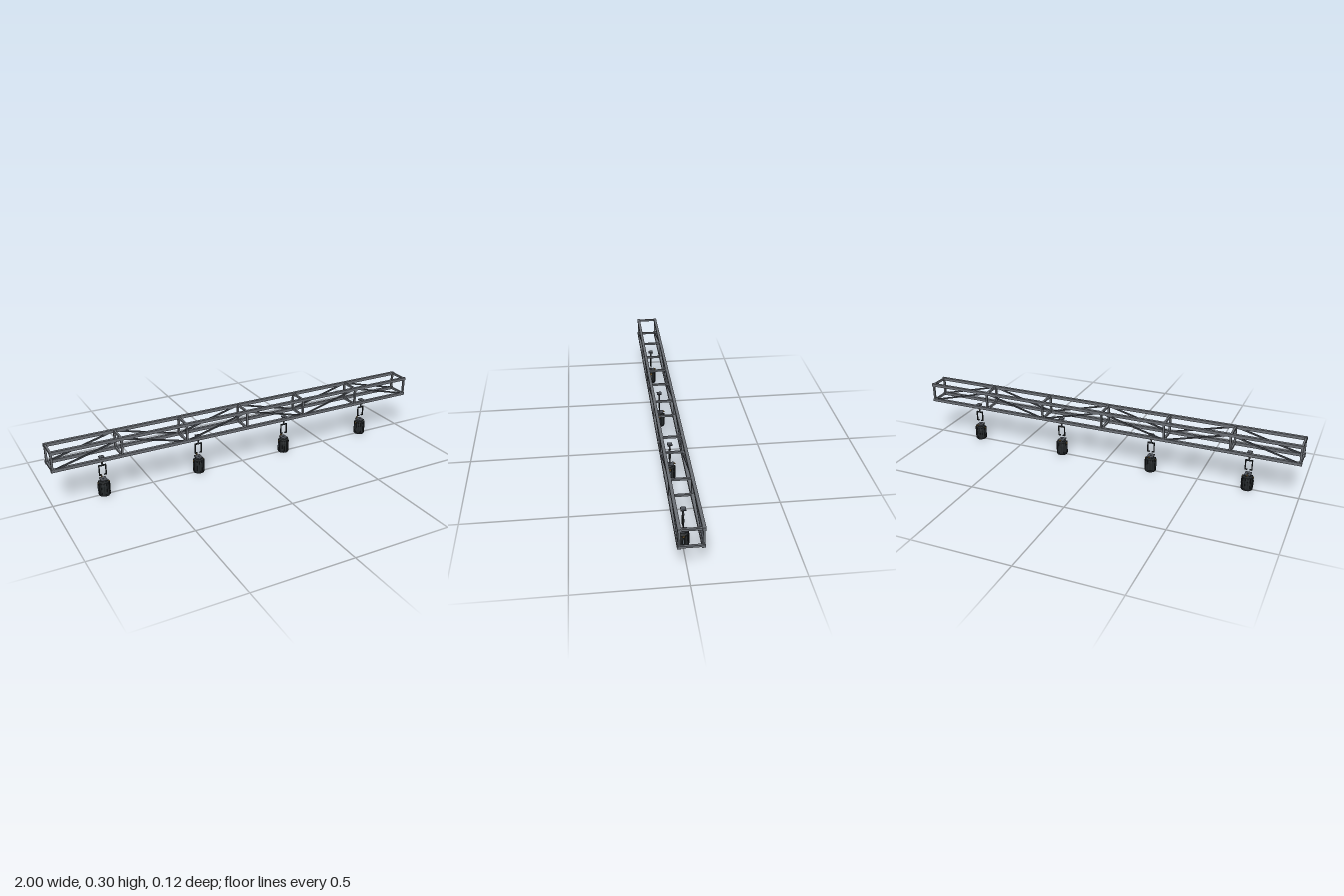
import * as THREE from 'three';

const mat = (color, flatShading = false) => new THREE.MeshStandardMaterial({ color, flatShading });
const steel = mat(0x6a6e74);
const darkSteel = mat(0x4c5057);
const black = mat(0x25292b, true);
const rib = mat(0x1b1e20);
const brass = mat(0x8a6a35);
const glass = mat(0x59636b);

function add(parent, name, geometry, material, x = 0, y = 0, z = 0) {
  const mesh = new THREE.Mesh(geometry, material);
  mesh.name = name;
  mesh.position.set(x, y, z);
  parent.add(mesh);
  return mesh;
}
const box = (parent, name, m, w, h, d, x, y, z) =>
  add(parent, name, new THREE.BoxGeometry(w, h, d), m, x, y, z);

function createTruss() {
  const truss = new THREE.Group();
  truss.name = 'truss';
  const low = 0.209, high = 0.296, side = 0.05, bay = 0.331;

  // Four long chords
  for (const y of [low, high])
    for (const z of [-side, side]) box(truss, 'chord', steel, 2, 0.015, 0.015, 0, y, z);

  // Rectangular frames between the bays
  for (let i = -3; i <= 3; i++) {
    const x = i * bay;
    for (const z of [-side, side])
      box(truss, 'framePost', steel, 0.01, high - low, 0.009, x, (low + high) / 2, z);
    for (const y of [low, high]) box(truss, 'frameCrossbar', steel, 0.01, 0.01, side * 2, x, y, 0);
  }

  // Zigzag braces on both long sides
  for (let i = 0; i < 6; i++) {
    const rise = (i % 2 === 0 ? 1 : -1) * (high - low);
    for (const z of [-side, side]) {
      const brace = box(truss, 'diagonalBrace', darkSteel, Math.hypot(bay, rise), 0.007, 0.007,
        (i - 2.5) * bay, (low + high) / 2, z);
      brace.rotation.z = Math.atan2(rise, bay);
    }
  }
  return truss;
}

function createLamp() {
  const lamp = new THREE.Group();
  lamp.name = 'hangingLamp';

  // Clamp and stem
  box(lamp, 'clampPlate', darkSteel, 0.024, 0.006, 0.024, 0, 0.201, 0);
  add(lamp, 'stem', new THREE.CylinderGeometry(0.004, 0.004, 0.042, 8), darkSteel, 0, 0.179, 0);
  box(lamp, 'clampBar', darkSteel, 0.032, 0.006, 0.007, 0, 0.182, 0);
  box(lamp, 'clampBolt', brass, 0.01, 0.007, 0.005, 0, 0.176, 0);

  // Open rectangular hanger
  box(lamp, 'hangerTop', black, 0.038, 0.006, 0.006, 0, 0.157, 0);
  for (const s of [-1, 1]) {
    box(lamp, 'hangerSide', black, 0.005, 0.052, 0.006, s * 0.0165, 0.132, 0);
    box(lamp, 'hangerFoot', black, 0.013, 0.005, 0.006, s * 0.0125, 0.108, 0);
  }

  // Swivel on top of the housing
  box(lamp, 'swivelBar', darkSteel, 0.032, 0.004, 0.042, 0, 0.084, 0);
  add(lamp, 'swivelPin', new THREE.CylinderGeometry(0.004, 0.004, 0.014, 8), darkSteel, 0, 0.082, 0);
  box(lamp, 'swivelKnob', brass, 0.007, 0.006, 0.007, 0, 0.087, -0.024);

  // Faceted housing with a recessed underside
  const profile = [[0, 0.008], [0.02, 0.008], [0.022, 0.002], [0.027, 0.002], [0.028, 0.01],
    [0.0285, 0.055], [0.025, 0.071], [0.017, 0.075], [0.015, 0.082], [0, 0.082]];
  add(lamp, 'housing', new THREE.LatheGeometry(profile.map(p => new THREE.Vector2(...p)), 12), black);
  add(lamp, 'lens', new THREE.CylinderGeometry(0.02, 0.02, 0.002, 12), glass, 0, 0.007, 0);
  add(lamp, 'lowerRim', new THREE.CylinderGeometry(0.0295, 0.0295, 0.006, 12), rib, 0, 0.009, 0);

  // Cooling ribs
  for (let i = 0; i < 12; i++) {
    const a = (i + 0.5) * Math.PI / 6;
    const fin = box(lamp, 'coolingRib', rib, 0.004, 0.057, 0.004,
      Math.sin(a) * 0.0275, 0.041, Math.cos(a) * 0.0275);
    fin.rotation.y = a;
  }

  // Side plates and pivots
  for (const s of [-1, 1]) {
    box(lamp, 'sidePlate', glass, 0.004, 0.024, 0.005, s * 0.029, 0.042, 0);
    box(lamp, 'sideBolt', brass, 0.006, 0.007, 0.007, s * 0.026, 0.066, 0);
  }
  return lamp;
}

export function createModel() {
  const model = new THREE.Group();
  model.name = 'lightingTruss';
  model.add(createTruss());
  for (let i = 0; i < 4; i++) {
    const lamp = createLamp();
    lamp.position.set((i - 1.5) * 0.498 - 0.002, -0.002, 0);
    model.add(lamp);
  }
  return model;
}
